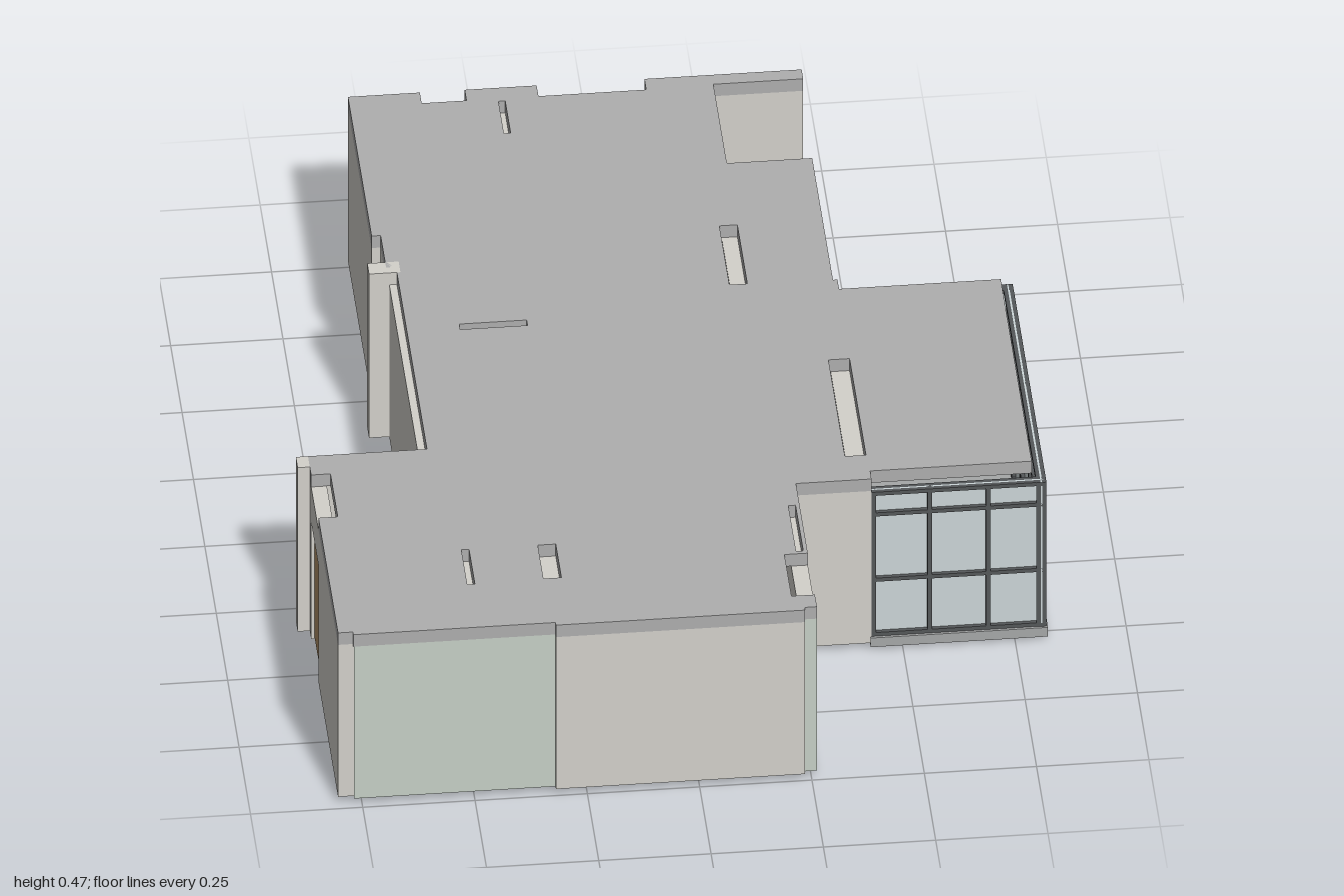
import * as THREE from 'three';

const BASE = 0.018, EAVE = 0.437, TOP = 0.47;
const mat = (color) => new THREE.MeshStandardMaterial({ color });
const M = {
  wall: mat(0xd3d1cb), concrete: mat(0xc6d0c6), roof: mat(0xaeaeae), glass: mat(0xccd6d8),
  frame: mat(0x55585a), wood: mat(0x9a8468), tile: mat(0x8c8c8c), green: mat(0x62784f),
  door: mat(0xb08f66), slat: mat(0x5c5c5c), sill: mat(0xa6a8a8),
};

export function createModel() {
  const house = new THREE.Group();
  house.name = 'house';

  const group = (name, parent = house) => {
    const g = new THREE.Group();
    g.name = name;
    parent.add(g);
    return g;
  };

  // box between two corners
  const box = (parent, name, m, x0, x1, y0, y1, z0, z1) => {
    const mesh = new THREE.Mesh(new THREE.BoxGeometry(x1 - x0, y1 - y0, z1 - z0), m);
    mesh.position.set((x0 + x1) / 2, (y0 + y1) / 2, (z0 + z1) / 2);
    mesh.name = name;
    parent.add(mesh);
    return mesh;
  };

  // box running along an axis: u is along it, w across it
  const run = (parent, name, m, axis, u0, u1, y0, y1, w0, w1) =>
    axis === 'x' ? box(parent, name, m, u0, u1, y0, y1, w0, w1)
      : box(parent, name, m, w0, w1, y0, y1, u0, u1);

  // wall with openings [start, end, bottom, top]
  const wall = (name, axis, u0, u1, w0, w1, openings = [], m = M.wall, top = EAVE) => {
    const g = group(name);
    let at = u0;
    for (const [s, e, b, t] of openings) {
      run(g, 'wallPanel', m, axis, at, s, BASE, top, w0, w1);
      if (b > BASE + 0.005) run(g, 'wallBelowOpening', m, axis, s, e, BASE, b, w0, w1);
      run(g, 'lintel', m, axis, s, e, t, top, w0, w1);
      at = e;
    }
    run(g, 'wallPanel', m, axis, at, u1, BASE, top, w0, w1);
  };

  // glazed frame with uprights at us and rails at ys (first and last are the border)
  const glazing = (name, axis, us, ys, w, t = 0.01, depth = 0.016) => {
    const g = group(name);
    const u0 = us[0], u1 = us[us.length - 1], y0 = ys[0], y1 = ys[ys.length - 1];
    run(g, 'glass', M.glass, axis, u0, u1, y0, y1, w - 0.002, w + 0.002);
    us.forEach((u, i) => {
      const c = i === 0 ? u + t / 2 : i === us.length - 1 ? u - t / 2 : u;
      run(g, 'upright', M.frame, axis, c - t / 2, c + t / 2, y0, y1, w - depth / 2, w + depth / 2);
    });
    ys.forEach((y, i) => {
      const c = i === 0 ? y + t / 2 : i === ys.length - 1 ? y - t / 2 : y;
      run(g, 'rail', M.frame, axis, u0, u1, c - t / 2, c + t / 2, w - depth / 2, w + depth / 2);
    });
  };

  // roof slab, notched and pierced above doors and windows
  const outline = [
    [-0.58, -1], [-0.42, -1], [-0.42, -0.96], [-0.32, -0.96], [-0.32, -1], [-0.16, -1],
    [-0.16, -0.96], [0.08, -0.96], [0.08, -1], [0.43, -1], [0.43, -0.965], [0.23, -0.965],
    [0.23, -0.67], [0.42, -0.67], [0.42, -0.215], [0.43, -0.215], [0.43, -0.18], [0.79, -0.18],
    [0.79, 0.5], [0.43, 0.5], [0.43, 0.53], [0.262, 0.53], [0.262, 0.79], [0.21, 0.79],
    [0.21, 0.945], [0.262, 0.945], [0.262, 0.99], [0.235, 0.99], [0.235, 1], [-0.32, 1],
    [-0.32, 0.99], [-0.77, 0.99], [-0.77, 0.98], [-0.803, 0.98], [-0.803, 0.55], [-0.76, 0.55],
    [-0.76, 0.39], [-0.803, 0.39], [-0.803, 0.32], [-0.538, 0.32], [-0.538, -0.36],
    [-0.56, -0.36], [-0.56, -0.48], [-0.58, -0.48],
  ].map(([x, z]) => new THREE.Vector2(x, z));
  const roofShape = new THREE.Shape(outline);
  const roofHoles = [
    [-0.25, -0.235, -0.95, -0.83], [0.19, 0.23, -0.44, -0.22], [-0.42, -0.27, -0.135, -0.115],
    [0.38, 0.427, 0.08, 0.44], [-0.5, -0.483, 0.7, 0.83], [-0.33, -0.29, 0.7, 0.825],
    [0.237, 0.253, 0.61, 0.78],
  ];
  for (const [x0, x1, z0, z1] of roofHoles) {
    roofShape.holes.push(new THREE.Path([[x0, z0], [x0, z1], [x1, z1], [x1, z0]]
      .map(([x, z]) => new THREE.Vector2(x, z))));
  }
  const roofGeo = new THREE.ExtrudeGeometry(roofShape, { depth: TOP - EAVE, bevelEnabled: false });
  roofGeo.rotateX(Math.PI / 2).translate(0, TOP, 0);
  const roof = new THREE.Mesh(roofGeo, M.roof);
  roof.name = 'roofSlab';
  house.add(roof);

  // outer walls
  wall('backWall', 'x', -0.58, 0.43, -1, -0.965, [[-0.42, -0.32, 0.165, 0.325], [-0.16, 0.08, 0.07, 0.365]]);
  wall('rightSideBackWall', 'z', -0.965, -0.48, -0.58, -0.545);
  wall('rightSideStepWall', 'z', -0.48, -0.36, -0.56, -0.525);
  wall('rightSideMiddleWall', 'z', -0.34, 0.32, -0.54, -0.51);
  wall('rightSideFacing', 'z', -0.34, 0.32, -0.555, -0.54, [], M.wall, EAVE);
  wall('entranceReturnWall', 'x', -0.803, -0.51, 0.32, 0.355);
  wall('entranceWall', 'z', 0.355, 0.98, -0.803, -0.768, [[0.39, 0.55, 0.02, 0.34]]);
  wall('frontConcreteWall', 'x', -0.768, -0.32, 0.955, 0.99, [], M.concrete);
  wall('frontWall', 'x', -0.32, 0.235, 0.965, 1);
  wall('frontCornerColumn', 'x', 0.235, 0.262, 0.95, 0.99, [], M.concrete);
  wall('leftSideFrontWall', 'z', 0.53, 0.95, 0.225, 0.262, [[0.8, 0.945, 0.165, 0.32]]);
  wall('sunroomFrontReturnWall', 'x', 0.225, 0.43, 0.495, 0.53);
  wall('sunroomInnerWall', 'z', -0.18, 0.495, 0.385, 0.428, [[0.08, 0.44, 0.02, 0.37]]);
  wall('sunroomBackReturnWall', 'x', 0.195, 0.428, -0.215, -0.18);
  wall('balconyInnerWall', 'z', -0.965, -0.215, 0.195, 0.23, [[-0.43, -0.23, 0.175, 0.37]]);
  box(house, 'sideColumn', M.wall, -0.6, -0.53, BASE, TOP, -0.38, -0.34);
  box(house, 'entrancePost', M.wall, -0.83, -0.803, BASE, TOP, 0.32, 0.36);

  // inner walls with doorways
  wall('bathroomWall', 'z', -0.965, -0.53, -0.25, -0.235, [[-0.95, -0.83, 0.02, 0.34]]);
  wall('bathroomEndWall', 'x', -0.545, -0.25, -0.55, -0.53);
  wall('backBedroomWall', 'x', -0.235, 0.195, -0.45, -0.43);
  wall('passageWall', 'z', -0.45, -0.115, -0.25, -0.235);
  wall('passageEndWall', 'x', -0.51, -0.25, -0.135, -0.115, [[-0.42, -0.27, 0.02, 0.34]]);
  wall('frontBathroomWall', 'z', 0.6, 0.955, -0.5, -0.483, [[0.7, 0.83, 0.02, 0.34]]);
  wall('frontBathroomEndWall', 'x', -0.768, -0.5, 0.59, 0.61);
  wall('frontBedroomWall', 'z', 0.53, 0.965, -0.33, -0.29, [[0.7, 0.825, 0.02, 0.34]]);
  wall('frontBedroomEndWall', 'x', -0.29, 0.225, 0.53, 0.55);

  // windows and doors
  glazing('backWindow', 'x', [-0.42, -0.32], [0.165, 0.245, 0.325], -0.988);
  glazing('backSlidingDoor', 'x', [-0.16, -0.04, 0.08], [0.07, 0.365], -0.988, 0.014);
  glazing('frontBedroomWindow', 'z', [0.8, 0.945], [0.165, 0.32], 0.252);
  glazing('balconyWindow', 'z', [-0.43, -0.365, -0.295, -0.23], [0.175, 0.37], 0.22);
  box(house, 'entranceDoor', M.door, -0.795, -0.78, 0.02, 0.34, 0.39, 0.55);

  // sunroom
  const rails = [0.035, 0.19, 0.37, 0.432];
  const across = [0.43, 0.56, 0.69, 0.82];
  glazing('sunroomFrontGlazing', 'x', across, rails, 0.518, 0.01, 0.022);
  glazing('sunroomBackGlazing', 'x', across, rails, -0.2, 0.01, 0.022);
  glazing('sunroomSideGlazing', 'z', [-0.21, -0.02, 0.16, 0.345, 0.53], rails, 0.809, 0.01, 0.022);
  box(house, 'sunroomBase', M.sill, 0.428, 0.823, 0.01, 0.035, -0.215, 0.535);
  box(house, 'sunroomGround', M.green, 0.43, 0.79, 0, 0.01, -0.18, 0.5);

  // utility balcony: louvres and water heater
  box(house, 'balconyFloor', M.tile, 0.23, 0.415, 0, 0.012, -0.66, -0.215);
  const louvres = group('louvres');
  for (let i = 0; i < 25; i++) {
    const y = 0.018 + i * 0.0163;
    box(louvres, 'sideSlat', M.slat, 0.405, 0.42, y, y + 0.004, -0.665, -0.215);
    box(louvres, 'backSlat', M.slat, 0.23, 0.42, y, y + 0.004, -0.668, -0.653);
  }
  for (const z of [-0.66, -0.22]) box(louvres, 'post', M.slat, 0.408, 0.418, 0.012, EAVE, z - 0.005, z + 0.005);
  const heater = new THREE.Mesh(new THREE.CylinderGeometry(0.037, 0.037, 0.26, 24), M.sill);
  heater.position.set(0.275, 0.16, -0.56);
  heater.name = 'waterHeater';
  house.add(heater);
  box(house, 'waterHeaterStand', M.frame, 0.24, 0.31, 0.012, 0.03, -0.595, -0.525);

  // floors
  const floors = group('floors');
  const floor = (name, m, x0, x1, z0, z1) => box(floors, name, m, x0, x1, 0.008, 0.02, z0, z1);
  floor('backBathroomFloor', M.tile, -0.545, -0.25, -0.965, -0.55);
  floor('backBedroomFloor', M.wood, -0.235, 0.195, -0.965, -0.45);
  floor('passageFloor', M.wood, -0.525, -0.25, -0.53, -0.135);
  floor('livingRoomFloor', M.wood, -0.235, 0.195, -0.43, -0.115);
  floor('livingRoomSideFloor', M.wood, 0.195, 0.385, -0.18, -0.115);
  floor('livingRoomFrontFloor', M.wood, -0.51, 0.385, -0.115, 0.495);
  floor('hallFloor', M.wood, -0.483, -0.33, 0.495, 0.955);
  floor('entranceFloor', M.wood, -0.768, -0.483, 0.355, 0.59);
  floor('frontBathroomFloor', M.tile, -0.768, -0.5, 0.61, 0.955);
  floor('frontBedroomFloor', M.wood, -0.29, 0.225, 0.55, 0.965);

  return house;
}
